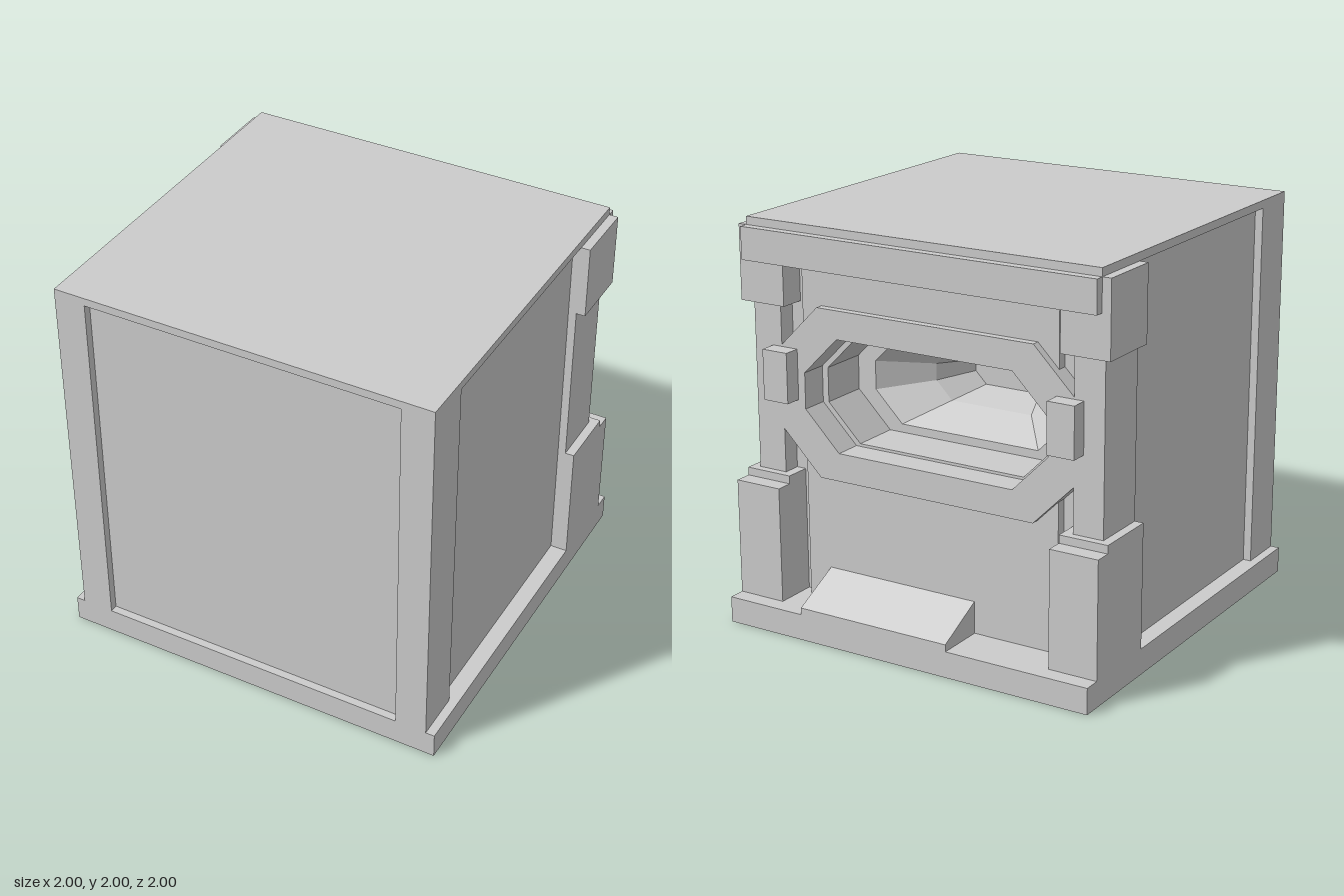
import * as THREE from 'three';

const MID = 1.18; // height of the centre of the octagonal opening

// Corners of an upright octagon, counter-clockwise
function octagon(hx, hy, c) {
  return [
    [-hx + c, -hy], [hx - c, -hy], [hx, -hy + c], [hx, hy - c],
    [hx - c, hy], [-hx + c, hy], [-hx, hy - c], [-hx, -hy + c],
  ].map(([x, y]) => new THREE.Vector2(x, y + MID));
}
const opening = (s) => octagon(0.67 * s, 0.28 * s, 0.19 * s);

export function createModel() {
  const group = new THREE.Group();
  const material = new THREE.MeshStandardMaterial({ color: 0xcccccc, flatShading: true });

  function add(name, geometry) {
    const mesh = new THREE.Mesh(geometry, material);
    mesh.name = name;
    group.add(mesh);
    return mesh;
  }
  // Box given by its limits
  function box(name, x0, x1, y0, y1, z0, z1) {
    const g = new THREE.BoxGeometry(x1 - x0, y1 - y0, z1 - z0);
    g.translate((x0 + x1) / 2, (y0 + y1) / 2, (z0 + z1) / 2);
    return add(name, g);
  }
  // The same box on both sides
  function pair(name, x0, x1, y0, y1, z0, z1) {
    box(name + 'Left', x0, x1, y0, y1, z0, z1);
    box(name + 'Right', -x1, -x0, y0, y1, z0, z1);
  }
  // Plate with the octagonal opening cut through it
  function plate(name, outline, z0, z1) {
    const shape = new THREE.Shape(outline);
    shape.holes.push(new THREE.Path(opening(1)));
    const g = new THREE.ExtrudeGeometry(shape, { depth: z1 - z0, bevelEnabled: false });
    g.translate(0, 0, z0);
    add(name, g);
  }
  const rect = (hx, y0, y1) => [[-hx, y0], [hx, y0], [hx, y1], [-hx, y1]]
    .map(([x, y]) => new THREE.Vector2(x, y));

  // Cabinet: base, recessed core, top and corner posts
  box('base', -1, 1, 0, 0.13, -1, 1);
  box('core', -0.915, 0.915, 0.13, 1.96, 0.1, 0.96);
  box('top', -0.955, 0.955, 1.96, 2, -0.83, 1);
  pair('frontPost', 0.795, 0.955, 0.13, 1.96, 0.755, 1);

  // Back half of the cabinet around the cavity
  plate('backBody', rect(0.915, 0.13, 1.96), -0.7, 0.1);
  plate('backPanel', rect(0.7, 0.13, 1.96), -0.75, -0.7);
  plate('openingFrame', octagon(0.8, 0.42, 0.21), -0.79, -0.7);
  pair('backColumn', 0.8, 0.955, 0.13, 1.96, -0.79, -0.5);

  // Corner blocks, header rail, feet and side knobs
  box('header', -0.955, 0.955, 1.8, 1.96, -0.83, -0.7);
  box('headerRail', -0.955, 0.955, 1.8, 1.96, -0.875, -0.83);
  pair('upperCorner', 0.75, 1, 1.59, 1.96, -0.83, -0.5);
  pair('lowerCorner', 0.75, 1, 0.13, 0.75, -0.83, -0.5);
  pair('cornerPad', 0.75, 1, 0.13, 0.71, -0.915, -0.83);
  pair('knob', 0.71, 0.85, 1.13, 1.38, -0.875, -0.79);

  // Sloped sill on the base, profile in (z, y)
  const profile = new THREE.Shape([[0.74, 0.1], [1, 0.1], [1, 0.165], [0.74, 0.295]]
    .map(([z, y]) => new THREE.Vector2(z, y)));
  const sill = new THREE.ExtrudeGeometry(profile, { depth: 0.825, bevelEnabled: false });
  sill.rotateY(Math.PI / 2); // local x -> -z, depth -> +x
  sill.translate(-0.25, 0, 0);
  add('sill', sill);

  // Stepped throat and funnel inside the opening: [z, scale]
  const steps = [[-0.79, 0.999], [-0.65, 0.999], [-0.65, 0.95], [-0.4, 0.95],
    [-0.4, 0.8], [-0.2, 0.47], [0, 0.32], [0, 0]];
  const rings = steps.map(([z, s]) => opening(s).map((p) => [p.x, p.y, z]));
  const positions = [];
  for (let k = 0; k < rings.length - 1; k++) {
    for (let i = 0; i < 8; i++) {
      const j = (i + 1) % 8;
      const a = rings[k][i], b = rings[k][j], c = rings[k + 1][j], d = rings[k + 1][i];
      if (k < rings.length - 2) positions.push(...a, ...d, ...c);
      positions.push(...a, ...c, ...b);
    }
  }
  const throat = new THREE.BufferGeometry();
  throat.setAttribute('position', new THREE.Float32BufferAttribute(positions, 3));
  throat.computeVertexNormals();
  add('funnel', throat);

  return group;
}
